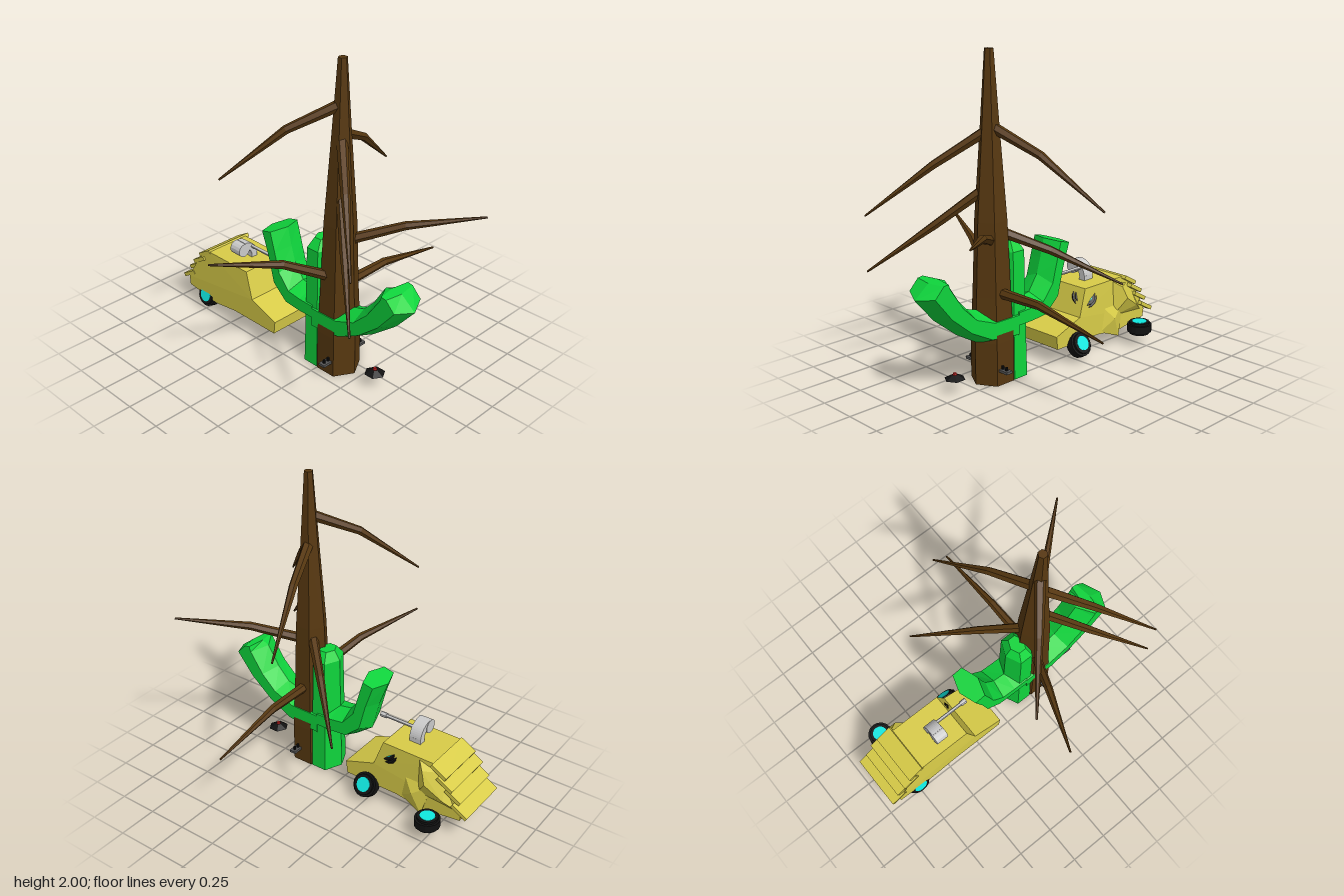
import * as THREE from 'three';
import { ConvexGeometry } from 'three/addons/geometries/ConvexGeometry.js';

const V = (x, y, z) => new THREE.Vector3(x, y, z);
const mat = (color) => new THREE.MeshStandardMaterial({ color, flatShading: true });
const BROWN = mat(0x573810), GREEN = mat(0x0fd43c), YELLOW = mat(0xd8cc48), BLACK = mat(0x111111);
const CYAN = mat(0x10e8e0), RED = mat(0xcc2020), GREY = mat(0xcccccc);
const CX = -0.08; // shared centre line of tree, cactus and car

function add(parent, name, geo, material, x = 0, y = 0, z = 0) {
  const m = new THREE.Mesh(geo, material);
  m.name = name;
  m.position.set(x, y, z);
  parent.add(m);
  return m;
}

// Skins a list of equal-sized rings and closes both ends
function loft(rings) {
  const n = rings[0].length, pos = [], idx = [];
  rings.forEach((r) => r.forEach((p) => pos.push(p.x, p.y, p.z)));
  for (let i = 0; i < rings.length - 1; i++) {
    for (let j = 0; j < n; j++) {
      const a = i * n + j, b = i * n + (j + 1) % n;
      idx.push(a, b, b + n, a, b + n, a + n);
    }
  }
  const last = (rings.length - 1) * n;
  for (let j = 1; j < n - 1; j++) idx.push(0, j + 1, j, last, last + j, last + j + 1);
  const g = new THREE.BufferGeometry();
  g.setAttribute('position', new THREE.Float32BufferAttribute(pos, 3));
  g.setIndex(idx);
  return g;
}

// Ring of six points from two half-axes
function hexRing(c, u, v) {
  return Array.from({ length: 6 }, (_, k) => {
    const a = (k * Math.PI) / 3;
    return c.clone().addScaledVector(u, Math.cos(a)).addScaledVector(v, Math.sin(a));
  });
}

const lathe = (pts) => new THREE.LatheGeometry(pts.map((p) => new THREE.Vector2(...p)), 6);

// Bent, tapering branch
function branch(start, mid, tip) {
  const pts = [start, mid, tip], radii = [0.034, 0.026, 0.006];
  return loft(pts.map((p, i) => {
    const d = pts[Math.min(i + 1, 2)].clone().sub(pts[Math.max(i - 1, 0)]).normalize();
    const u = d.clone().cross(V(0, 1, 0)).normalize();
    const v = d.clone().cross(u);
    return hexRing(p, u.multiplyScalar(radii[i]), v.multiplyScalar(radii[i]));
  }));
}

// Cactus arm: each section is [lower z, lower y, upper z, upper y]
function arm(sections, side) {
  return loft(sections.map(([z0, y0, z1, y1]) => hexRing(
    V(CX, (y0 + y1) / 2, (z0 + z1) / 2),
    V(0, (y1 - y0) / 2, (z1 - z0) / 2),
    V(-side * 0.133, 0, 0))));
}

function tree() {
  const g = new THREE.Group();
  g.name = 'deadTree';
  add(g, 'trunk', lathe([[0, 0], [0.137, 0], [0.136, 0.27], [0.12, 0.55], [0.102, 1], [0.06, 1.55], [0.028, 2], [0, 2]]),
    BROWN, CX, 0, 0.32);
  // start height, bend height, tip x, y, z
  [[0.62, 0.79, -0.81, 0.88, 0], [1.73, 1.59, -0.61, 1.3, -0.12], [1.54, 1.33, -0.575, 1.03, 0.86],
    [1.21, 0.97, -0.575, 0.69, 0.86], [1.56, 1.41, 0.593, 1.12, 0.075], [0.87, 0.99, 0.465, 1.063, 0.958],
    [0.95, 0.81, 0.465, 0.595, -0.245], [0.565, 0.567, 0.81, 0.475, 0.32]].forEach(([y0, y1, x, y, z]) => {
    const tip = V(x, y, z), start = V(CX, y0, 0.32);
    const mid = start.clone().lerp(tip, 0.45).setY(y1);
    add(g, 'branch', branch(start, mid, tip), BROWN);
  });
  return g;
}

function cactus() {
  const g = new THREE.Group();
  g.name = 'cactus';
  const stem = lathe([[0, 0], [0.104, 0], [0.098, 0.3], [0.096, 0.45], [0.09, 0.8], [0.05, 0.86], [0, 0.86]]);
  add(g, 'stem', stem.scale(1.27, 1, 1), GREEN, CX, 0, 0.19);
  add(g, 'frontArm', arm([[0.2, 0.22, 0.2, 0.465], [0.43, 0.257, 0.39, 0.455], [0.6, 0.355, 0.52, 0.495],
    [0.77, 0.49, 0.6, 0.58], [0.9, 0.64, 0.68, 0.71], [0.8, 0.72, 0.73, 0.73]], 1), GREEN);
  add(g, 'backArm', arm([[0.2, 0.3, 0.2, 0.46], [0.09, 0.3, 0.095, 0.465], [-0.04, 0.31, 0.01, 0.48],
    [-0.155, 0.4, -0.06, 0.58], [-0.205, 0.6, -0.09, 0.68], [-0.265, 0.765, -0.12, 0.8]], -1), GREEN);
  return g;
}

function wheel(name, pos, axis) {
  const g = new THREE.Group();
  g.name = name;
  add(g, 'tyre', new THREE.CylinderGeometry(0.066, 0.066, 0.08, 16), BLACK);
  add(g, 'tread', new THREE.CylinderGeometry(0.08, 0.08, 0.05, 16), BLACK);
  add(g, 'hub', new THREE.CylinderGeometry(0.047, 0.047, 0.084, 16), CYAN);
  g.position.copy(pos);
  g.quaternion.setFromUnitVectors(V(0, 1, 0), axis.normalize());
  return g;
}

function car() {
  const g = new THREE.Group();
  g.name = 'wreckedCar';
  // body side outline as z, y
  const outline = [[-0.08, 0.115], [-0.07, 0.2], [-0.28, 0.275], [-0.34, 0.45], [-0.71, 0.45],
    [-0.8, 0.37], [-0.91, 0.19], [-0.905, 0.125], [-0.64, 0.09], [-0.45, 0.115]];
  const shape = new THREE.Shape(outline.map((p) => new THREE.Vector2(...p)));
  const body = new THREE.ExtrudeGeometry(shape, { depth: 0.335, bevelEnabled: false });
  body.rotateY(-Math.PI / 2);
  // lean the cabin sides inward
  const p = body.attributes.position;
  for (let i = 0; i < p.count; i++) {
    if (p.getY(i) > 0.4) p.setX(i, -0.1675 + (p.getX(i) + 0.1675) * 0.93);
  }
  add(g, 'body', body, YELLOW, 0.085);

  // dented panels
  add(g, 'rearWing', new ConvexGeometry([V(0.07, 0.44, -0.6), V(0.08, 0.2, -0.6), V(0.12, 0.4, -0.65),
    V(0.14, 0.32, -0.68), V(0.12, 0.24, -0.8), V(0.08, 0.18, -0.88), V(0.05, 0.4, -0.78)]), YELLOW);
  add(g, 'bentDoor', new ConvexGeometry([V(0.08, 0.28, -0.51), V(0.08, 0.28, -0.7), V(0.1, 0.06, -0.64),
    V(0.12, 0.2, -0.58), V(0.08, 0.12, -0.48), V(0, 0.12, -0.5), V(0, 0.06, -0.62)]), YELLOW);

  // overlapping buckled slats on the tail
  [[-0.75, 0.42], [-0.8, 0.355], [-0.855, 0.285], [-0.91, 0.205]].forEach(([z, y], i) => {
    const s = add(g, 'tailSlat', new THREE.BoxGeometry(0.345 + (i % 2) * 0.02, 0.025, 0.12), YELLOW, -0.07, y, z);
    s.rotation.set(-0.52, 0, 0);
  });
  [-0.2, 0.05].forEach((x) => add(g, 'tailLight', new THREE.BoxGeometry(0.06, 0.03, 0.02), RED, x, 0.16, -0.908));

  g.add(wheel('looseRearWheel', V(0.19, 0.117, -0.745), V(0, 1, 0)));
  g.add(wheel('rearWheel', V(-0.215, 0.1, -0.745), V(1, -0.3, 0)));
  g.add(wheel('frontWheel', V(0.11, 0.11, -0.245), V(0.85, 0.5, 0)));
  g.add(wheel('thrownWheel', V(0.02, 0.37, -0.385), V(0.68, 0.55, 0.4)));
  return g;
}

function roofGun() {
  const g = new THREE.Group();
  g.name = 'roofGun';
  const drum = add(g, 'drum', new THREE.CylinderGeometry(0.045, 0.045, 0.085, 14), GREY, -0.15, 0.525, -0.495);
  drum.rotation.x = Math.PI / 2;
  // arched mount running from the drum down to the roof
  const arch = new THREE.Shape();
  arch.absarc(0, 0, 0.1, 0, Math.PI / 2, false);
  arch.absarc(0, 0, 0.055, Math.PI / 2, 0, true);
  add(g, 'mount', new THREE.ExtrudeGeometry(arch, { depth: 0.08, bevelEnabled: false, curveSegments: 6 }),
    GREY, -0.14, 0.47, -0.535);
  add(g, 'foot', new THREE.BoxGeometry(0.045, 0.05, 0.08), GREY, -0.0625, 0.455, -0.495);
  [[0.011, 0.22, -0.36], [0.017, 0.04, -0.242]].forEach(([r, len, z]) => {
    add(g, 'barrel', new THREE.CylinderGeometry(r, r, len, 10), GREY, CX, 0.53, z).rotation.x = Math.PI / 2;
  });
  return g;
}

function traps() {
  const g = new THREE.Group();
  g.name = 'traps';
  // flat mine with a red button
  add(g, 'mine', new THREE.CylinderGeometry(0.02, 0.065, 0.025, 6), BLACK, CX, 0.1, 0.62);
  add(g, 'mineButton', new THREE.CylinderGeometry(0.01, 0.014, 0.012, 8), RED, CX, 0.118, 0.62);
  // studded plates either side of the trunk
  [-1, 1].forEach((s) => {
    add(g, 'plate', new THREE.BoxGeometry(0.085, 0.016, 0.045), mat(0x555555), CX + s * 0.142, 0.097, 0.352);
    [0.127, 0.16].forEach((d) =>
      add(g, 'stud', new THREE.CylinderGeometry(0.008, 0.011, 0.04, 8), BLACK, CX + s * d, 0.106, 0.352));
  });
  return g;
}

export function createModel() {
  const model = new THREE.Group();
  model.name = 'desertWreck';
  model.add(tree(), cactus(), car(), roofGun(), traps());
  return model;
}
